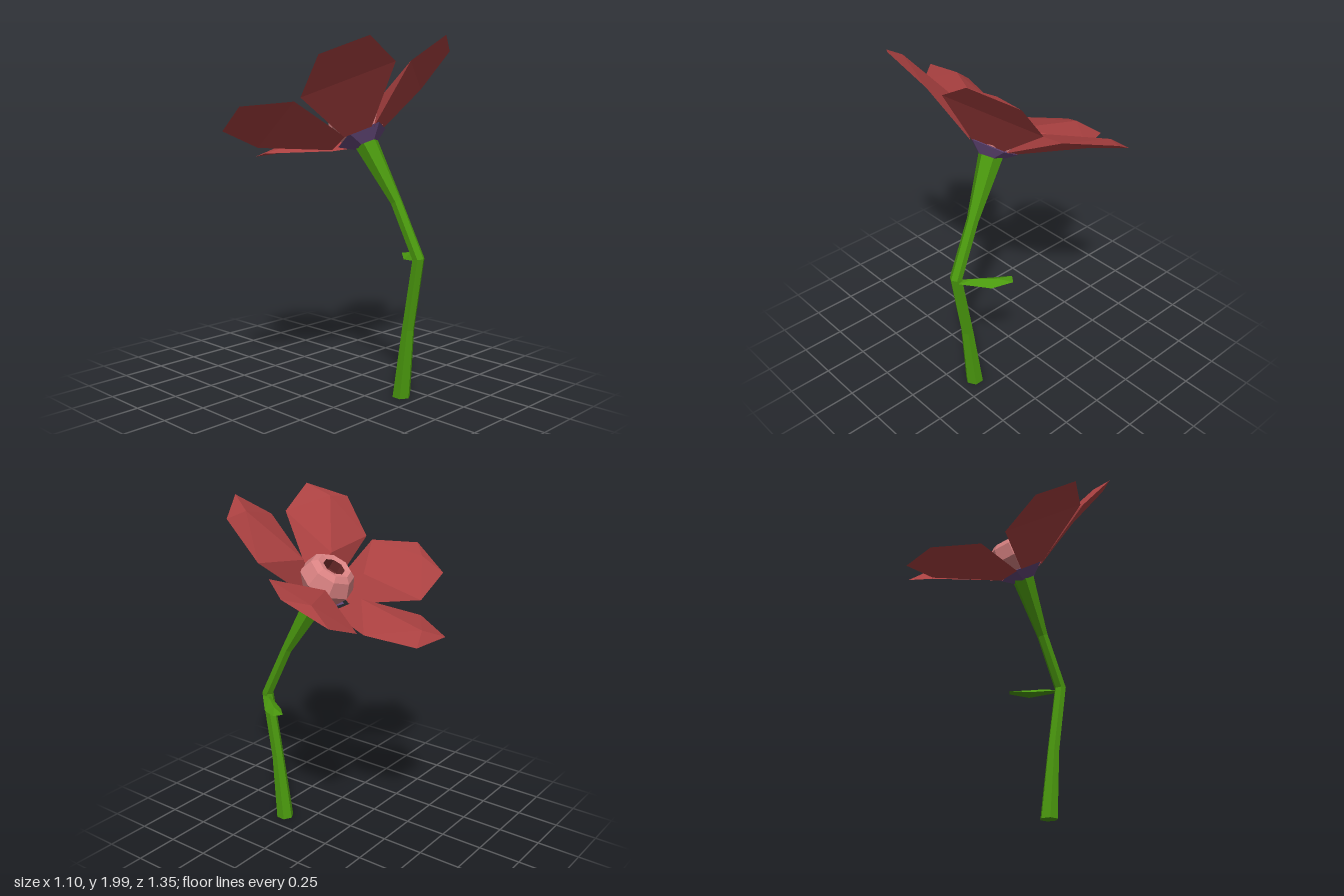
import * as THREE from 'three';

const mat = (color) => new THREE.MeshStandardMaterial({ color, flatShading: true, side: THREE.DoubleSide });
const red = mat(0xab4141), pink = mat(0xd98282), darkRed = mat(0x6e2b2b), green = mat(0x4a980e), purple = mat(0x66497c);

function part(name, geometry, material) {
  const mesh = new THREE.Mesh(geometry, material);
  mesh.name = name;
  return mesh;
}

function facets(points, faces) {
  const g = new THREE.BufferGeometry();
  g.setAttribute('position', new THREE.Float32BufferAttribute(faces.flat().flatMap((i) => points[i]), 3));
  g.computeVertexNormals();
  return g;
}

// Blade along +x: base, wide and tip sections as [length, height, halfWidth],
// plus two raised midrib points as [length, height]
function blade(sections, ribs) {
  const points = [];
  for (const [r, h, w] of sections) points.push([r, h, w], [r, h, -w]);
  for (const [r, h] of ribs) points.push([r, h, 0]);
  const top = [[0, 2, 6], [2, 7, 6], [2, 4, 7], [4, 5, 7], [5, 3, 7], [3, 6, 7], [3, 1, 6], [1, 0, 6]];
  const bottom = [[0, 1, 3], [0, 3, 2], [2, 3, 5], [2, 5, 4]];
  return facets(points, [...top, ...bottom]);
}

// Faceted tube through a path of [x, y, z, radius]
function stemGeometry(path, sides) {
  const up = new THREE.Vector3(0, 1, 0);
  const centres = path.map((p) => new THREE.Vector3(p[0], p[1], p[2]));
  const points = [], faces = [];
  path.forEach((p, i) => {
    const t = i === 0 ? up.clone()
      : centres[Math.min(i + 1, path.length - 1)].clone().sub(centres[i - 1]).normalize();
    const q = new THREE.Quaternion().setFromUnitVectors(up, t);
    for (let s = 0; s < sides; s++) {
      const a = (s / sides) * Math.PI * 2;
      const v = new THREE.Vector3(Math.cos(a) * p[3], 0, Math.sin(a) * p[3]).applyQuaternion(q).add(centres[i]);
      points.push(v.toArray());
      if (i > 0) {
        const n = (s + 1) % sides, lo = (i - 1) * sides, hi = i * sides;
        faces.push([lo + s, hi + s, hi + n], [lo + s, hi + n, lo + n]);
      }
    }
  });
  for (let s = 1; s < sides - 1; s++) faces.push([0, s, s + 1]);
  return facets(points, faces);
}

const lathe = (profile, sides) =>
  new THREE.LatheGeometry(profile.map(([r, h]) => new THREE.Vector2(r, h)), sides);

export function createModel() {
  const model = new THREE.Group();
  model.name = 'flower';

  // Bent stem
  model.add(part('stem', stemGeometry([
    [0.40, 0, -0.14, 0.052],
    [0.443, 0.4, -0.14, 0.036],
    [0.508, 0.8, -0.14, 0.035],
    [0.365, 1.1, -0.12, 0.033],
    [0.185, 1.415, -0.07, 0.068],
  ], 6), green));

  // Small leaf at the bend
  const leaf = part('leaf', blade(
    [[0, -0.01, 0.02], [0.17, -0.033, 0.048], [0.29, -0.018, 0.028]],
    [[0.08, 0.004], [0.2, -0.005]]), green);
  leaf.position.set(0.505, 0.795, -0.16);
  leaf.rotation.y = Math.PI - Math.atan2(0.17, 0.24);
  model.add(leaf);

  // Tilted flower head
  const head = new THREE.Group();
  head.name = 'flowerHead';
  head.position.set(0.016, 1.658, -0.018);
  head.quaternion.setFromUnitVectors(new THREE.Vector3(0, 1, 0), new THREE.Vector3(-0.527, 0.848, 0.025).normalize());
  model.add(head);

  // Five petals, slightly unevenly spread around the head
  const petalGeometry = blade(
    [[0.12, -0.265, 0.08], [0.44, -0.087, 0.262], [0.67, 0, 0.135]],
    [[0.2, -0.115], [0.59, 0.012]]);
  for (const angle of [182, 248, 323, 38, 104]) {
    const petal = part('petal', petalGeometry, red);
    petal.rotation.y = -THREE.MathUtils.degToRad(angle);
    head.add(petal);
  }

  // Calyx, cup and its dark hollow
  const core = new THREE.Group();
  core.name = 'flowerCore';
  core.position.set(0.022, 0, -0.035);
  const calyx = part('calyx', lathe([[0.065, -0.315], [0.15, -0.255], [0, -0.23]], 5), purple);
  calyx.rotation.y = THREE.MathUtils.degToRad(88);
  core.add(calyx);
  core.add(part('cup', lathe([[0.12, -0.25], [0.162, -0.165], [0.13, -0.085], [0.098, -0.06], [0.064, -0.068]], 8), pink));
  core.add(part('cupHollow', lathe([[0.064, -0.068], [0.066, -0.13], [0.04, -0.18], [0, -0.19]], 8), darkRed));
  head.add(core);

  return model;
}
